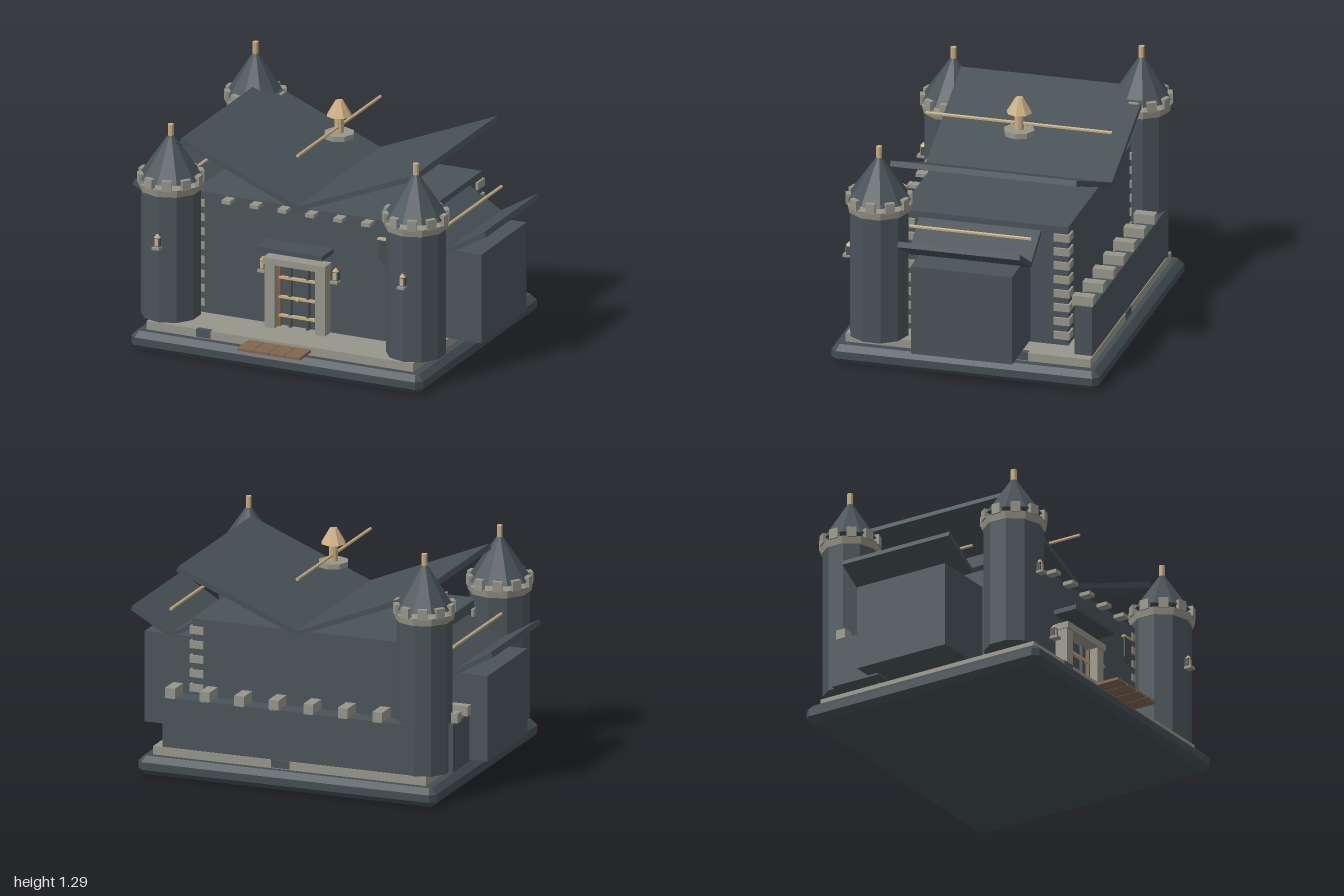
import * as THREE from 'three';

const mat = (name, color) => {
  const m = new THREE.MeshStandardMaterial({ color, flatShading: true });
  m.name = name;
  return m;
};

export function createModel() {
  const wall = mat('slate wall', 0x4a5459);
  const roofMat = mat('slate roof', 0x475156);
  const plinthMat = mat('dark plinth', 0x434d52);
  const stone = mat('pale stone', 0x96968a);
  const tan = mat('tan timber', 0xc8ad80);
  const wood = mat('brown wood', 0x80664f);
  const root = new THREE.Group();
  root.name = 'castle';

  const add = (name, geo, m, x, y, z, parent = root) => {
    const mesh = new THREE.Mesh(geo, m);
    mesh.name = name;
    mesh.position.set(x, y, z);
    parent.add(mesh);
    return mesh;
  };
  // box given by its minimum and maximum on each axis
  const box = (name, m, x0, x1, y0, y1, z0, z1, parent) =>
    add(name, new THREE.BoxGeometry(x1 - x0, y1 - y0, z1 - z0), m,
      (x0 + x1) / 2, (y0 + y1) / 2, (z0 + z1) / 2, parent);
  const cyl = (name, m, rTop, rBottom, y0, y1, x, z, sides, parent) =>
    add(name, new THREE.CylinderGeometry(rTop, rBottom, y1 - y0, sides), m, x, (y0 + y1) / 2, z, parent);
  const group = (name, x = 0, y = 0, z = 0) => {
    const g = new THREE.Group();
    g.name = name;
    g.position.set(x, y, z);
    root.add(g);
    return g;
  };

  // Chamfered plinth
  const hx = 0.82, hz = 0.708, c = 0.03;
  const outline = new THREE.Shape([
    [-hx + c, -hz], [hx - c, -hz], [hx, -hz + c], [hx, hz - c],
    [hx - c, hz], [-hx + c, hz], [-hx, hz - c], [-hx, -hz + c],
  ].map(([x, y]) => new THREE.Vector2(x, y)));
  const plinthGeo = new THREE.ExtrudeGeometry(outline, {
    depth: 0.04, bevelThickness: 0.03, bevelSize: 0.03, bevelOffset: -0.03, bevelSegments: 1,
  });
  plinthGeo.rotateX(-Math.PI / 2);
  add('plinth', plinthGeo, plinthMat, 0, 0.03, -0.04);

  // Paved terrace with dark inlays on its edges
  box('terrace', stone, -0.75, 0.75, 0.1, 0.145, -0.69, 0.605);
  box('terraceInlay', wall, -0.47, -0.39, 0.105, 0.146, 0.58, 0.609);
  box('terraceInlay', wall, 0.0, 0.1, 0.105, 0.146, -0.694, -0.67);
  box('terraceInlay', wall, 0.72, 0.754, 0.105, 0.146, -0.36, -0.28);

  // Main hall
  box('hall', wall, -0.6, 0.6, 0.145, 0.795, -0.53, 0.36);
  for (const s of [-1, 1]) {
    for (let i = 0; i < 8; i++) {
      const y = 0.2 + i * 0.0765;
      for (const z of [-0.498, 0.323]) {
        add('quoin', new THREE.BoxGeometry(0.075, 0.04, 0.085), stone, s * 0.575, y, z);
      }
    }
  }
  for (let i = 0; i < 6; i++) {
    const x = (i - 2.5) * 0.157;
    box('corbel', stone, x - 0.024, x + 0.024, 0.77, 0.79, 0.35, 0.42);
  }

  // Upswept pair of roof slabs with a floating ridge pole
  const valleyRoof = (name, x, y, halfWidth, rise, z0, z1, poleY) => {
    const g = group(name, x, y, (z0 + z1) / 2);
    const t = 0.027;
    const v = (a, b) => new THREE.Vector2(a, b);
    for (const s of [-1, 1]) {
      const pts = [v(0, 0), v(s * halfWidth, rise), v(s * (halfWidth - t * 0.4), rise + t), v(0, t)];
      const geo = new THREE.ExtrudeGeometry(new THREE.Shape(pts), { depth: z1 - z0, bevelEnabled: false });
      add('roofSlab', geo, roofMat, 0, 0, -(z1 - z0) / 2, g);
    }
    const pole = add('ridgePole', new THREE.CylinderGeometry(0.009, 0.009, z1 - z0, 6), tan, 0, poleY - y, 0, g);
    pole.rotation.x = Math.PI / 2;
  };
  valleyRoof('hallRoof', 0, 0.785, 0.665, 0.268, -0.59, 0.395, 1.085);

  // Side wings
  for (const [s, dy, z0, z1] of [[1, 0, -0.385, 0.26], [-1, -0.025, -0.395, 0.25]]) {
    box('wing', wall, s > 0 ? 0.59 : -0.945, s > 0 ? 0.945 : -0.59, 0.155, 0.635 + dy, z0 + 0.055, z1 - 0.055);
    valleyRoof('wingRoof', s * 0.778, 0.63 + dy, 0.22, 0.125, z0, z1, 0.785 + dy);
  }

  // Roof vent
  cyl('ventBase', stone, 0.08, 0.08, 1.025, 1.053, 0, -0.1, 8);
  cyl('ventShaft', tan, 0.025, 0.025, 1.05, 1.15, 0, -0.1, 8);
  cyl('ventCap', tan, 0.02, 0.067, 1.145, 1.225, 0, -0.1, 8);

  // Towers: shaft, parapet ring, merlons, cone and finial
  const tower = (x, z, top, r) => {
    const g = group('tower', x, 0, z);
    cyl('towerShaft', wall, r, r, 0.145, top + 0.01, 0, 0, 10, g);
    cyl('parapetRing', stone, r + 0.016, r + 0.008, top, top + 0.04, 0, 0, 10, g);
    for (let i = 0; i < 10; i++) {
      const a = ((i + 0.5) / 10) * Math.PI * 2, d = r + 0.003;
      const m = add('merlon', new THREE.BoxGeometry(0.05, 0.055, 0.026), stone,
        Math.sin(a) * d, top + 0.062, Math.cos(a) * d, g);
      m.rotation.y = a;
    }
    cyl('towerCone', roofMat, 0.004, r + 0.012, top + 0.065, top + 0.3, 0, 0, 10, g);
    cyl('finial', tan, 0.016, 0.016, top + 0.27, top + 0.343, 0, 0, 8, g);
  };
  tower(-0.69, 0.445, 0.825, 0.154);
  tower(0.69, 0.445, 0.825, 0.154);
  tower(-0.685, -0.552, 0.945, 0.142);

  // Low rear wall and its short return
  box('rearWall', wall, -0.68, 0.7, 0.145, 0.41, -0.685, -0.59);
  for (let i = 0; i < 7; i++) {
    const x = 0.66 - i * 0.19;
    box('wallMerlon', stone, x - 0.027, x + 0.027, 0.405, 0.46, -0.685, -0.575);
  }
  box('returnWall', wall, -0.845, -0.76, 0.145, 0.4, -0.56, -0.28);
  for (const z of [-0.5, -0.36]) box('wallMerlon', stone, -0.855, -0.75, 0.398, 0.45, z - 0.027, z + 0.027);

  // Doorway with a barred gate
  const door = group('doorway');
  for (const s of [-1, 1]) {
    add('doorJamb', new THREE.BoxGeometry(0.055, 0.35, 0.08), stone, s * 0.142, 0.32, 0.39, door);
    add('gateStile', new THREE.BoxGeometry(0.012, 0.34, 0.02), wood, s * 0.108, 0.315, 0.375, door);
    add('gateBar', new THREE.BoxGeometry(0.014, 0.34, 0.02), wall, s * 0.05, 0.315, 0.375, door);
  }
  box('doorLintel', stone, -0.175, 0.175, 0.49, 0.525, 0.35, 0.44, door);
  for (const y of [0.205, 0.305, 0.41]) box('gateRail', tan, -0.11, 0.11, y - 0.006, y + 0.006, 0.37, 0.39, door);
  add('gateHandle', new THREE.SphereGeometry(0.012, 8, 6), tan, 0, 0.305, 0.395, door);
  box('doorCanopy', roofMat, -0.185, 0.185, 0.575, 0.6, 0.35, 0.493);

  // Wooden step in front of the terrace
  for (let i = 0; i < 4; i++) {
    const x = -0.176 + i * 0.0885;
    box('stepPlank', wood, x, x + 0.086, 0.118, 0.132, 0.6, 0.742);
  }

  // Wall lanterns
  const lantern = (x, y, z) => {
    const g = group('lantern', x, y, z);
    box('lanternBracket', stone, -0.02, 0.02, -0.045, -0.032, -0.01, 0.034, g);
    box('lanternBody', wall, -0.016, 0.016, -0.032, 0.015, -0.01, 0.016, g);
    box('lanternPane', tan, -0.01, 0.01, -0.028, 0.01, 0.015, 0.019, g);
    cyl('lanternCap', tan, 0.004, 0.018, 0.015, 0.034, 0, 0.004, 6, g);
  };
  for (const s of [-1, 1]) {
    lantern(s * 0.69, 0.59, 0.6);
    lantern(s * 0.205, 0.47, 0.37);
  }

  // Hanging banner
  const cloth = new THREE.Shape([[-0.03, 0.14], [-0.03, 0.03], [0, 0], [0.03, 0.03], [0.03, 0.14]]
    .map(([x, y]) => new THREE.Vector2(x, y)));
  add('banner', new THREE.ExtrudeGeometry(cloth, { depth: 0.008, bevelEnabled: false }), plinthMat, 0.48, 0.555, 0.368);
  box('bannerRod', tan, 0.442, 0.518, 0.695, 0.705, 0.36, 0.382);

  return root;
}
